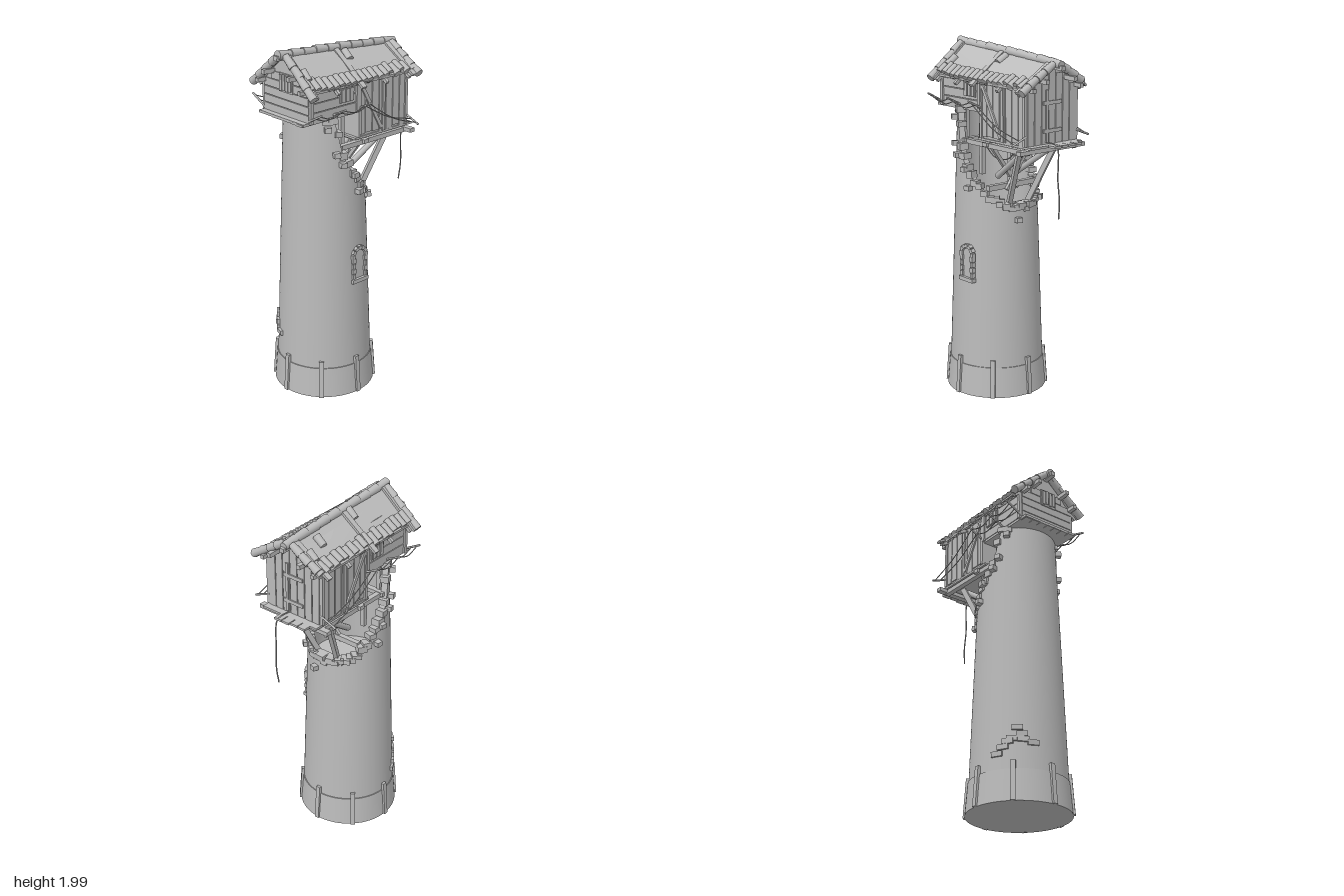
import * as THREE from 'three';

export function createModel() {
  const model = new THREE.Group();
  model.name = 'ruinedTowerHut';
  const stone = new THREE.MeshStandardMaterial({ color: 0xbbbbbb, side: THREE.DoubleSide });
  stone.name = 'plain grey';
  const V = (x, y, z) => new THREE.Vector3(x, y, z);
  let seed = 7;
  const rnd = (k = 1) => { seed = (seed * 16807) % 2147483647; return (seed / 2147483647 - 0.5) * 2 * k; };

  const add = (name, geo) => {
    const m = new THREE.Mesh(geo, stone);
    m.name = name;
    model.add(m);
    return m;
  };
  const box = (name, x, y, z, w, h, d) => {
    const m = add(name, new THREE.BoxGeometry(w, h, d));
    m.position.set(x, y, z);
    return m;
  };
  const between = (m, a, b) => {
    m.position.copy(a).add(b).multiplyScalar(0.5);
    m.lookAt(b);
    return m;
  };
  const beam = (name, a, b, w, h = w) => between(add(name, new THREE.BoxGeometry(w, h, a.distanceTo(b))), a, b);
  const log = (name, a, b, r0, r1 = r0, n = 10) =>
    between(add(name, new THREE.CylinderGeometry(r1, r0, a.distanceTo(b), n).rotateX(Math.PI / 2)), a, b);
  const rope = (name, pts, r = 0.003) =>
    add(name, new THREE.TubeGeometry(new THREE.CatmullRomCurve3(pts), 24, r, 5));

  // Tower wall: a tapered shell whose top falls away towards the back
  const CZ = 0.115, N = 96, WALL = 0.035;
  const radius = y => 0.265 - 0.035 * (y - 0.2);
  const cut = [[-0.14, 1.07], [-0.03, 1.15], [0.03, 1.22], [0.12, 1.33], [0.17, 1.42], [0.215, 1.62], [0.4, 1.62]];
  const cutY = z => {
    for (let i = 1; i < cut.length; i++) {
      const [z0, y0] = cut[i - 1], [z1, y1] = cut[i];
      if (z <= z1) return y0 + (y1 - y0) * Math.max(0, (z - z0) / (z1 - z0));
    }
    return 1.62;
  };
  const polar = (t, y, off = 0) => V(Math.sin(t) * (radius(y) + off), y, CZ + Math.cos(t) * (radius(y) + off));
  const topY = t => cutY(CZ + Math.cos(t) * 0.23);
  const strip = (name, lower, upper) => {
    const pos = [], idx = [];
    for (let i = 0; i < N; i++) {
      const t = (i / N) * Math.PI * 2, j = (i + 1) % N;
      pos.push(...lower(t).toArray(), ...upper(t).toArray());
      idx.push(2 * i, 2 * j, 2 * j + 1, 2 * i, 2 * j + 1, 2 * i + 1);
    }
    const g = new THREE.BufferGeometry();
    g.setAttribute('position', new THREE.Float32BufferAttribute(pos, 3));
    g.setIndex(idx);
    g.computeVertexNormals();
    add(name, g);
  };
  strip('towerWall', t => polar(t, 0.15), t => polar(t, topY(t)));
  strip('brokenRim', t => polar(t, topY(t)), t => polar(t, topY(t), -WALL));
  strip('innerWall', t => polar(t, topY(t), -WALL), t => polar(t, 1.0, -WALL));
  add('innerFloor', new THREE.CylinderGeometry(0.21, 0.21, 0.02, 48)).position.set(0, 1.0, CZ);

  // Foot ring with eight leaning posts
  add('footRing', new THREE.CylinderGeometry(0.271, 0.285, 0.175, 64)).position.set(0, 0.0875, CZ);
  for (let i = 0; i < 8; i++) {
    const t = (i * Math.PI) / 4, s = Math.sin(t), c = Math.cos(t);
    const post = box('footPost', s * 0.277, 0.11, CZ + c * 0.277, 0.026, 0.22, 0.022);
    post.rotation.set(-0.07, t, 0, 'YXZ');
  }

  // Loose and jutting stones
  const brick = (t, y, w = 0.04, h = 0.03, d = 0.035, off = 0) => {
    const m = box('looseStone', 0, 0, 0, w, h, d);
    m.position.copy(polar(t, y, off));
    m.rotation.set(rnd(0.08), t + rnd(0.08), rnd(0.08), 'YXZ');
  };
  for (let i = 0; i < 34; i++) {
    const t = 0.95 + (i / 33) * (Math.PI * 2 - 1.9);
    brick(t, topY(t) + rnd(0.012), 0.045 + rnd(0.012), 0.032 + rnd(0.008), 0.05, -WALL / 2 + 0.004);
  }
  for (const s of [-1, 1]) {
    for (const [a, y] of [[1.62, 1.3], [1.75, 1.2], [1.3, 1.37], [1.15, 1.43], [0.95, 1.57], [2.5, 1.12]])
      brick(s * a, y, 0.035, 0.028, 0.04, 0.012);
  }
  brick(2.95, 1.025, 0.035, 0.028, 0.04, 0.012);
  for (const [x, y] of [[-0.17, 0.4], [-0.15, 0.365], [-0.19, 0.34], [-0.145, 0.335], [-0.1, 0.318], [-0.22, 0.295], [-0.235, 0.26], [-0.205, 0.325]])
    brick(Math.asin(x / 0.262), y, 0.06, 0.028, 0.018, 0.004);

  // Arched window on the left flank
  const WZ = 0.075, WX = 0.243;
  const pane = new THREE.Shape();
  pane.moveTo(-0.036, 0.69).lineTo(0.036, 0.69).lineTo(0.036, 0.82).absarc(0, 0.82, 0.036, 0, Math.PI);
  const shutter = add('windowPane', new THREE.ExtrudeGeometry(pane, { depth: 0.008, bevelEnabled: false }));
  shutter.rotation.y = Math.PI / 2;
  shutter.position.set(WX - 0.004, 0, WZ);
  box('windowSill', WX + 0.006, 0.679, WZ, 0.03, 0.022, 0.115);
  for (const s of [-1, 1]) for (let i = 0; i < 4; i++)
    box('windowJamb', WX + 0.003, 0.707 + i * 0.031, WZ + s * 0.043, 0.024, 0.027, 0.018 + (i % 2) * 0.006);
  for (let i = 0; i < 7; i++) {
    const a = (i / 6) * Math.PI;
    box('windowArchStone', WX + 0.003, 0.825 + Math.sin(a) * 0.046, WZ + Math.cos(a) * 0.046, 0.024, 0.02, 0.022).rotation.x = -a + Math.PI / 2;
  }

  // Roof surface rule
  const roofY = (x, z) => {
    const ridge = 1.965 - (0.42 - z) * 0.077, eave = 1.788 - (0.42 - z) * 0.015;
    return ridge - ((ridge - eave) * Math.abs(x)) / 0.21;
  };
  const onRoof = (x, z, up = 0) => V(x, roofY(x, z) + up, z);

  // Hut body: high front room and deeper back room
  const room = (name, z0, z1, y0) => {
    const s = new THREE.Shape([[-0.178, y0], [0.178, y0], [0.178, 1.8], [0, 1.9], [-0.178, 1.8]].map(p => new THREE.Vector2(...p)));
    const g = new THREE.ExtrudeGeometry(s, { depth: z1 - z0, bevelEnabled: false }).translate(0, 0, z0);
    const p = g.attributes.position;
    for (let i = 0; i < p.count; i++) if (p.getY(i) > 1.7) p.setY(i, roofY(p.getX(i), p.getZ(i)) - 0.005);
    g.computeVertexNormals();
    add(name, g);
  };
  room('frontRoom', 0.03, 0.37, 1.62);
  room('backRoom', -0.335, 0.03, 1.478);
  box('frontFloor', 0, 1.625, 0.215, 0.36, 0.014, 0.39);
  for (let i = 0; i < 7; i++) box('frontFloorPlank', -0.15 + i * 0.05, 1.622, 0.385 + rnd(0.012), 0.044, 0.012, 0.04);
  box('backFloor', 0, 1.474, -0.165, 0.37, 0.012, 0.43);
  for (let i = 0; i < 4; i++) box('backStep', -0.12 + i * 0.052, 1.474, -0.385 + rnd(0.008), 0.047, 0.012, 0.09);

  // Wall boards, corner posts and braces
  for (const s of [-1, 1]) {
    const X = s * 0.181;
    for (let i = 0; i < 3; i++) box('sideBoard', X, 1.655 + i * 0.05, 0.2, 0.006, 0.046, 0.33);
    for (let i = 0; i < 7; i++) box('sideBoard', X, 1.63 + rnd(0.01), 0.002 - i * 0.051, 0.006, 0.29, 0.046);
    for (const z of [0.36, 0.035]) box('cornerPost', s * 0.183, 1.71, z, 0.022, 0.17, 0.022);
    for (const z of [0.022, -0.155, -0.328]) box('cornerPost', s * 0.183, 1.63, z, 0.018, 0.3, 0.018);
    beam('sideBrace', V(s * 0.187, 1.5, -0.14), V(s * 0.187, 1.77, 0.01), 0.012, 0.02);
    box('sideShutter', s * 0.187, 1.735, 0.115, 0.008, 0.075, 0.1);
    for (let i = 0; i < 3; i++) box('shutterSlat', s * 0.193, 1.735, 0.085 + i * 0.03, 0.006, 0.07, 0.022);
  }
  for (let i = 0; i < 5; i++) box('frontBoard', rnd(0.004), 1.65 + i * 0.046, 0.373, i < 4 ? 0.355 : 0.22, 0.042, 0.006);
  box('frontWindow', 0.01, 1.81, 0.378, 0.105, 0.1, 0.008);
  for (let i = 0; i < 4; i++) box('frontWindowSlat', -0.026 + i * 0.024, 1.81 + rnd(0.006), 0.385, 0.018, 0.085, 0.006);
  for (let i = 0; i < 7; i++) {
    const x = -0.15 + i * 0.05, top = roofY(Math.abs(x) + 0.022, -0.335) - 0.01;
    box('backBoard', x, (1.48 + top) / 2, -0.338, 0.045, top - 1.48, 0.006);
  }
  for (const y of [1.55, 1.7]) box('doorBar', 0.0, y, -0.345, 0.13, 0.02, 0.008);
  box('doorPost', 0.04, 1.63, -0.345, 0.016, 0.28, 0.008);

  // Roof slopes, straps and purlins
  for (const s of [-1, 1]) {
    const g = new THREE.BoxGeometry(0.205, 0.012, 0.78).translate(s * 0.1025, 0, 0.013);
    const p = g.attributes.position;
    for (let i = 0; i < p.count; i++) p.setY(i, p.getY(i) + roofY(p.getX(i), p.getZ(i)));
    g.computeVertexNormals();
    add('roofSlope', g);
    for (const z of [0.375, 0.04, -0.335]) beam('roofStrap', onRoof(s * 0.005, z, 0.012), onRoof(s * 0.243, z, 0.012), 0.032, 0.014);
    beam('purlin', onRoof(s * 0.1, 0.445, -0.02), onRoof(s * 0.1, -0.415, -0.02), 0.024);
    beam('eavePurlin', onRoof(s * 0.17, 0.43, -0.022), onRoof(s * 0.17, -0.39, -0.022), 0.022);

    // Eave tiles and gable tiles
    for (let i = 0; i < 19; i++) {
      const z = 0.365 - i * 0.04, j = rnd(0.008);
      log('eaveTile', onRoof(s * (0.143 + j), z, 0.008), onRoof(s * (0.203 + j), z + rnd(0.004), 0.008), 0.018, 0.022);
    }
    for (const z of [0.392, -0.366]) for (let i = 0; i < 4; i++) {
      if (s < 0 && i === 3 && z < 0) continue;
      const x = 0.02 + i * 0.054, zz = z + rnd(0.006);
      log('gableTile', onRoof(s * x, zz, 0.014), onRoof(s * (x + 0.062), zz, 0.014), 0.019, 0.024);
    }
    // Rafter ends under the eaves
    for (const z of [0.36, 0.2, -0.15, -0.32]) beam('rafterEnd', onRoof(s * 0.12, z, -0.016), onRoof(s * 0.222, z, -0.016), 0.018);
  }
  for (let i = 0; i < 10; i++) {
    const z = 0.425 - i * 0.083, lift = rnd(0.004);
    log('ridgeTile', onRoof(0, z - 0.088, 0.002 + lift), onRoof(0, z, 0.004 + lift), 0.022, 0.026, 12);
  }
  beam('ridgeBeam', onRoof(0, 0.44, -0.015), onRoof(0, -0.425, -0.015), 0.026);
  for (const [x, z] of [[-0.07, 0.075], [0.03, -0.01], [-0.1, -0.215], [0.1, 0.34], [-0.14, -0.32]])
    log('slippedTile', onRoof(x, z, 0.012), onRoof(x + 0.055, z + rnd(0.01), 0.012), 0.02, 0.023);

  // Rope railings on outrigger sticks
  for (const s of [-1, 1]) {
    const stick = [[0.37, 1.64, 1.695], [0.205, 1.64, 1.69], [0.02, 1.64, 1.69], [-0.335, 1.535, 1.495]];
    for (const [z, y0, y1] of stick) log('railStick', V(s * 0.175, y0, z), V(s * 0.278, y1, z), 0.006, 0.006, 6);
    for (const x of [0.225, 0.262]) {
      const y = i => stick[i][1] + (stick[i][2] - stick[i][1]) * ((x - 0.175) / 0.103);
      for (let i = 0; i < 3; i++) {
        const a = V(s * x, y(i), stick[i][0]), b = V(s * x, y(i + 1), stick[i + 1][0]);
        rope('railRope', [a, a.clone().lerp(b, 0.5).add(V(0, -0.025, 0)), b]);
      }
    }
  }

  // Timber frame and props beneath the hut
  for (const s of [-1, 1]) {
    beam('floorBeam', V(s * 0.17, 1.445, 0.19), V(s * 0.17, 1.445, -0.34), 0.03, 0.026);
    box('innerPost', s * 0.12, 1.44, 0.093, 0.024, 0.36, 0.024);
    box('innerPost', s * 0.15, 1.53, 0.185, 0.022, 0.2, 0.016);
    beam('backStrut', V(s * 0.13, 1.44, -0.23), V(s * 0.07, 1.11, -0.075), 0.024, 0.03);
    log('backLog', V(s * 0.1, 1.43, -0.23), V(s * 0.06, 1.25, 0.03), 0.016, 0.018);
    beam('crossBrace', V(s * 0.15, 1.44, -0.02), V(-s * 0.05, 1.18, -0.02 + s * 0.012), 0.02);
  }
  for (const z of [0.17, -0.02, -0.335]) box('crossBeam', 0, 1.45, z, z < -0.3 ? 0.47 : 0.4, 0.022, 0.035);
  box('centrePost', 0, 1.31, -0.01, 0.026, 0.27, 0.026);
  beam('propFoot', V(-0.17, 1.2, -0.01), V(0.17, 1.2, -0.01), 0.03);
  beam('propFoot', V(-0.12, 1.1, -0.08), V(0.12, 1.1, -0.08), 0.03);
  rope('slackRope', [V(0.1, 1.43, 0.1), V(0.06, 1.35, 0.05), V(0.02, 1.34, 0.01), V(0.03, 1.38, -0.06), V(0.08, 1.43, -0.12)]);

  // Rope hanging from the back step
  rope('hangingRope', [V(0.03, 1.484, -0.32), V(0.035, 1.485, -0.41), V(0.04, 1.465, -0.432), V(0.045, 1.3, -0.438), V(0.04, 1.18, -0.446), V(0.035, 1.085, -0.435)], 0.004);

  return model;
}
